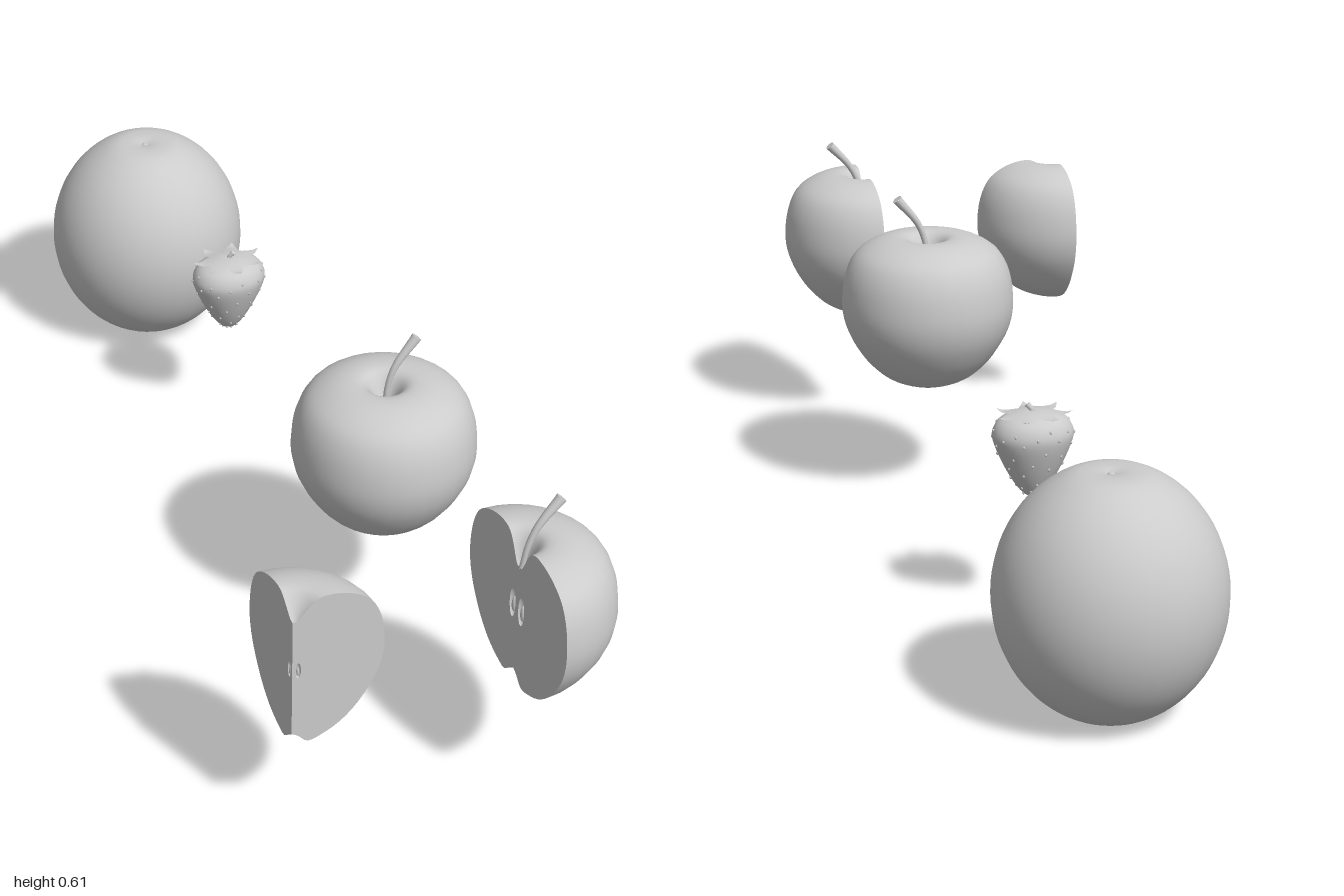
import * as THREE from 'three';

const skin = new THREE.MeshStandardMaterial({ color: 0xcccccc, roughness: 0.8 });
const thin = new THREE.MeshStandardMaterial({ color: 0xcccccc, roughness: 0.8, side: THREE.DoubleSide });

function add(parent, name, geometry, material = skin) {
  const mesh = new THREE.Mesh(geometry, material);
  mesh.name = name;
  parent.add(mesh);
  return mesh;
}

// Smooth [radius, height] profile, listed from bottom to top
function profile(points, steps) {
  const curve = new THREE.SplineCurve(points.map(([r, y]) => new THREE.Vector2(r, y)));
  const list = curve.getPoints(steps);
  list.forEach(p => { p.x = Math.max(0, p.x); });
  return list;
}

const appleProfile = (top) => profile([
  [0, 0.246], [0.012, 0.238], [0.03, 0.221], [0.055, 0.226], [0.09, 0.243], [0.124, 0.275],
  [0.153, 0.32], [0.167, 0.36], [0.17, 0.4], [0.163, 0.447], [0.146, 0.484], [0.12, 0.506],
  [0.085, 0.52], [0.05, 0.522], [0.03, 0.508], [0.01, top + 0.003], [0, top]
], 48);

// Bent stalk that widens towards its end, closed with a disc
function addStalk(parent, name, points, r0, r1) {
  const curve = new THREE.CatmullRomCurve3(points.map(p => new THREE.Vector3(...p)));
  const steps = 12, sides = 10;
  const geo = new THREE.TubeGeometry(curve, steps, 1, sides);
  const pos = geo.attributes.position, v = new THREE.Vector3();
  for (let i = 0; i <= steps; i++) {
    const c = curve.getPointAt(i / steps);
    const r = r0 + (r1 - r0) * (i / steps) ** 2;
    for (let j = 0; j <= sides; j++) {
      const k = i * (sides + 1) + j;
      v.fromBufferAttribute(pos, k).sub(c).multiplyScalar(r).add(c);
      pos.setXYZ(k, v.x, v.y, v.z);
    }
  }
  add(parent, name, geo);
  const cap = add(parent, name + 'End', new THREE.CircleGeometry(r1, sides));
  cap.position.copy(curve.getPointAt(1));
  cap.quaternion.setFromUnitVectors(new THREE.Vector3(0, 0, 1), curve.getTangentAt(1));
}

// Half of a cut face with a hollow seed pocket; the flesh lies on the given side of it
function addCutFace(parent, points, angle, fleshSide, pocket) {
  const face = new THREE.Group();
  face.name = 'cutFace';
  face.rotation.y = angle;
  const shape = new THREE.Shape(points);
  const hole = new THREE.Path();
  hole.absellipse(pocket.r, pocket.y, pocket.w, pocket.h, 0, Math.PI * 2, true);
  shape.holes.push(hole);
  add(face, 'flesh', new THREE.ShapeGeometry(shape, 10), thin);
  const hollow = add(face, 'seedPocket', new THREE.SphereGeometry(1, 12, 10, 0, Math.PI), thin);
  hollow.scale.set(pocket.w, pocket.h, pocket.w);
  hollow.rotation.y = fleshSide > 0 ? 0 : Math.PI;
  hollow.position.set(pocket.r, pocket.y, 0);
  const seed = add(face, 'seed', new THREE.SphereGeometry(1, 10, 8));
  seed.scale.set(pocket.w * 0.5, pocket.h * 0.55, pocket.w * 0.5);
  seed.position.set(pocket.r, pocket.y - pocket.h * 0.15, fleshSide * pocket.w * 0.4);
  parent.add(face);
}

function wholeApple() {
  const g = new THREE.Group();
  g.name = 'wholeApple';
  add(g, 'appleSkin', new THREE.LatheGeometry(appleProfile(0.47), 32));
  addStalk(g, 'stalk', [[0, 0.465, 0], [0.004, 0.51, 0], [0.018, 0.55, 0], [0.06, 0.603, 0]], 0.005, 0.01);
  g.position.set(0.112, 0, 0.32);
  return g;
}

function halfApple() {
  const g = new THREE.Group();
  g.name = 'halfApple';
  const pts = appleProfile(0.465);
  const pocket = { r: 0.015, y: 0.378, w: 0.01, h: 0.03 };
  add(g, 'appleSkin', new THREE.LatheGeometry(pts, 16, 0, Math.PI), thin);
  addCutFace(g, pts, -Math.PI / 2, -1, pocket);
  addCutFace(g, pts, Math.PI / 2, 1, pocket);
  addStalk(g, 'stalk', [[0.004, 0.46, 0], [0.014, 0.505, 0], [0.032, 0.542, 0], [0.073, 0.588, 0]], 0.005, 0.01);
  g.position.set(0.11, 0, 0.83);
  return g;
}

function quarterApple() {
  const g = new THREE.Group();
  g.name = 'quarterApple';
  const pts = appleProfile(0.485);
  const pocket = { r: 0.011, y: 0.38, w: 0.005, h: 0.016 };
  add(g, 'appleSkin', new THREE.LatheGeometry(pts, 8, Math.PI / 2, Math.PI / 2), thin);
  addCutFace(g, pts, 0, -1, pocket);
  addCutFace(g, pts, Math.PI / 2, 1, pocket);
  g.position.set(-0.311, 0, 0.83);
  return g;
}

// Round fruit flattened at both poles, with a small scar on top
function orange() {
  const g = new THREE.Group();
  g.name = 'orange';
  const pts = [new THREE.Vector2(0, 0.004)];
  for (let i = 1; i < 36; i++) {
    const a = -Math.PI / 2 + Math.PI * i / 36;
    const y = 0.225 * Math.sin(a);
    pts.push(new THREE.Vector2(0.2 * Math.cos(a), 0.215 + THREE.MathUtils.clamp(y, -0.215, 0.215)));
  }
  pts.push(new THREE.Vector2(0, 0.424));
  add(g, 'peel', new THREE.LatheGeometry(pts, 40));
  const scar = add(g, 'stalkScar', new THREE.SphereGeometry(0.007, 8, 6));
  scar.scale.y = 0.4;
  scar.position.y = 0.426;
  g.position.set(0.11, 0, -0.8);
  return g;
}

function strawberry() {
  const g = new THREE.Group();
  g.name = 'strawberry';
  const pts = profile([[0, 0.23], [0.014, 0.236], [0.03, 0.26], [0.047, 0.297], [0.06, 0.335],
    [0.061, 0.357], [0.05, 0.377], [0.026, 0.388], [0, 0.386]], 28);
  add(g, 'berry', new THREE.LatheGeometry(pts, 24));

  // Seeds on a spiral around the berry
  const seedGeo = new THREE.SphereGeometry(0.0022, 6, 4);
  for (let i = 0; i < 60; i++) {
    const p = pts[3 + Math.floor(i * 17 / 60)];
    const a = i * 2.39996;
    const seed = add(g, 'berrySeed', seedGeo);
    seed.position.set(p.x * Math.sin(a), p.y, p.x * Math.cos(a));
    seed.scale.y = 1.5;
  }

  // Pointed leaves that follow the shoulder and curl up at the tip
  const leafGeo = new THREE.PlaneGeometry(1, 1, 2, 8);
  const pos = leafGeo.attributes.position;
  for (let i = 0; i < pos.count; i++) {
    const t = pos.getY(i) + 0.5, s = pos.getX(i) * 2;
    const w = 0.004 * (1 - t) + 0.012 * Math.sin(Math.PI * Math.min(1, t * 0.95 + 0.05));
    const y = 0.393 - 0.018 * t * t + 0.014 * t ** 6 - 0.003 * Math.abs(s) * (1 - t);
    pos.setXYZ(i, s * w, y, 0.06 * t);
  }
  leafGeo.computeVertexNormals();
  for (let i = 0; i < 7; i++) {
    add(g, 'leaf', leafGeo, thin).rotation.y = i * Math.PI * 2 / 7;
  }
  addStalk(g, 'stalk', [[0, 0.385, 0], [0.002, 0.394, 0], [0.008, 0.403, 0.003]], 0.004, 0.005);

  g.scale.x = 1.2;
  g.position.set(0.11, 0, -0.37);
  return g;
}

export function createModel() {
  const model = new THREE.Group();
  model.name = 'fruitSet';
  model.add(wholeApple(), halfApple(), quarterApple(), orange(), strawberry());
  return model;
}
